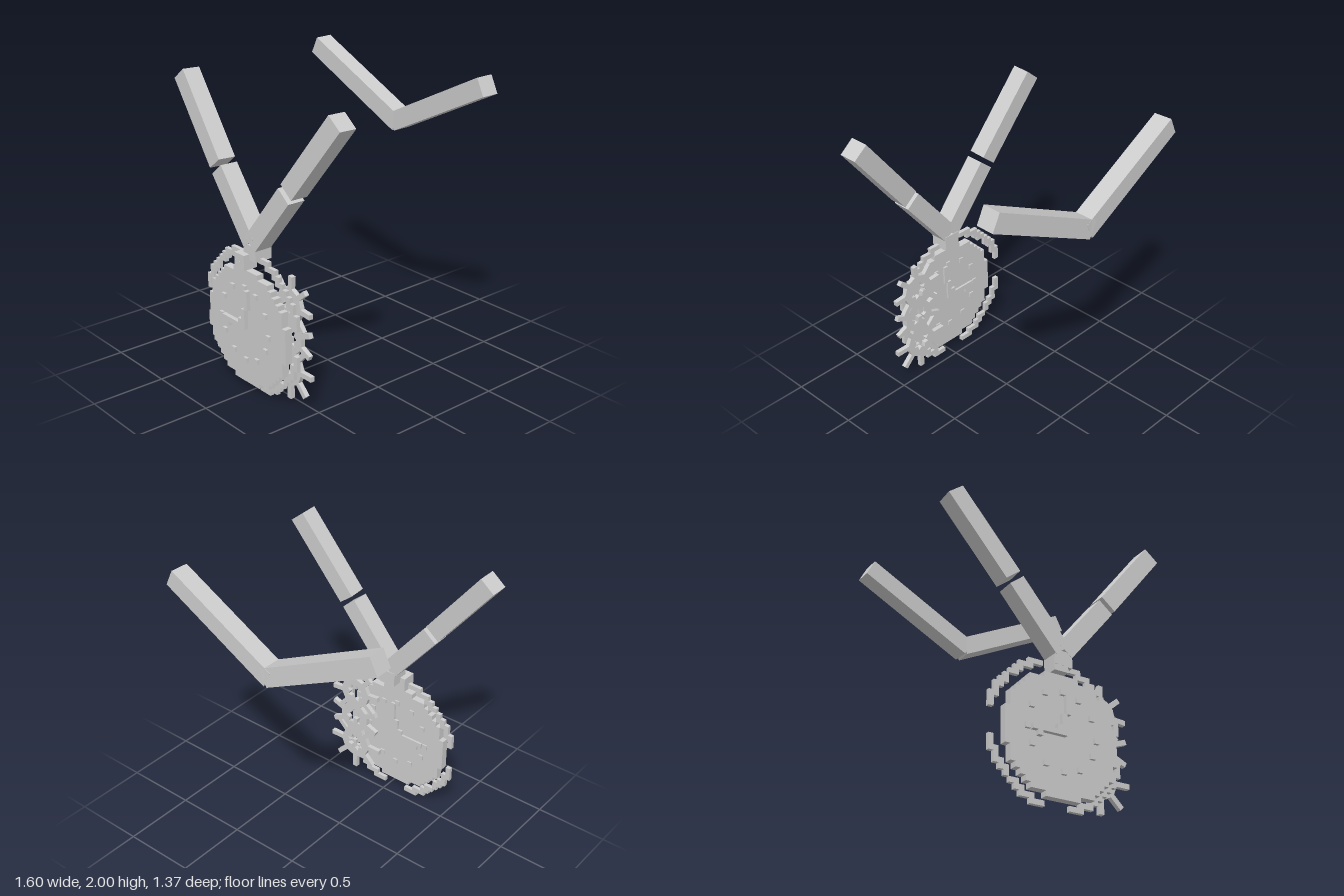
import * as THREE from 'three';

const CELL = 0.034;
const grey = new THREE.MeshStandardMaterial({ color: 0xcccccc });
grey.name = 'grey metal';

export function createModel() {
  const model = new THREE.Group();
  model.name = 'pocketWatchNecklace';

  const group = (name) => {
    const g = new THREE.Group();
    g.name = name;
    model.add(g);
    return g;
  };
  // Box given by its limits on each axis
  const block = (parent, name, x0, x1, y0, y1, z0, z1) => {
    const mesh = new THREE.Mesh(new THREE.BoxGeometry(x1 - x0, y1 - y0, z1 - z0), grey);
    mesh.position.set((x0 + x1) / 2, (y0 + y1) / 2, (z0 + z1) / 2);
    mesh.name = name;
    parent.add(mesh);
  };
  // Square bar between two points
  const bar = (parent, name, a, b) => {
    const from = new THREE.Vector3(...a), to = new THREE.Vector3(...b);
    const mesh = new THREE.Mesh(new THREE.BoxGeometry(0.123, 0.123, from.distanceTo(to)), grey);
    mesh.up.set(0, 0, 1);
    mesh.position.copy(from).lerp(to, 0.5);
    mesh.lookAt(to);
    mesh.name = name;
    parent.add(mesh);
  };

  // Straps, mirrored left and right
  const straps = group('straps');
  for (const s of [1, -1]) {
    bar(straps, 'backStrap', [s * 0.772, 1.945, -0.602], [s * -0.017, 1.555, -0.628]);
    bar(straps, 'upperFrontStrap', [s * 0.747, 1.927, 0.535], [s * 0.352, 1.432, 0.562]);
    bar(straps, 'lowerFrontStrap', [s * 0.33, 1.403, 0.564], [s * 0.008, 1.008, 0.572]);
  }
  block(straps, 'strapJoint', -0.062, 0.058, 0.9, 1.0, 0.506, 0.632);

  // Clasp between strap and dial
  const clasp = group('clasp');
  block(clasp, 'claspBlock', -0.1, -0.003, 0.838, 0.938, 0.575, 0.675);
  for (const x of [-0.088, -0.044]) block(clasp, 'claspPin', x - 0.006, x + 0.006, 0.879, 0.891, 0.67, 0.679);

  // Stepped round dial, one slab per row
  const dial = group('dial');
  const dx = -0.034, dy = 0.436;
  for (let j = -11; j <= 11; j++) {
    const half = (Math.floor(Math.sqrt(136 - j * j)) + 0.5) * CELL;
    block(dial, 'dialRow', dx - half, dx + half, dy + (j - 0.5) * CELL, dy + (j + 0.5) * CELL, 0.593, 0.645);
  }

  // Hour markers, standing out on both faces
  const markers = group('hourMarkers');
  const spots = [[0, 0.71], [0.118, 0.682], [0.21, 0.585], [0.24, 0.447], [0.21, 0.344], [0.118, 0.24], [0, 0.209]];
  for (const [ox, y] of spots) {
    for (const s of ox ? [1, -1] : [1]) {
      const x = dx + s * ox - (ox ? 0.018 : 0) + 0.012 * Math.sign(ox);
      block(markers, 'hourMarker', x - 0.017, x + 0.017, y - 0.017, y + 0.017, 0.583, 0.664);
    }
  }

  // Stepped clock hands
  const hands = group('hands');
  for (const [x0, x1, y0, y1] of [
    [-0.02, 0.011, 0.568, 0.7], [-0.05, -0.016, 0.463, 0.568], [-0.085, -0.05, 0.463, 0.495],
    [-0.254, -0.016, 0.43, 0.463], [-0.217, -0.185, 0.398, 0.43],
  ]) block(hands, 'handSegment', x0, x1, y0, y1, 0.578, 0.674);

  // Outer ring of blocks, open at the four cardinal points
  const ring = group('outerRing');
  const rx = -0.048, ry = 0.46;
  for (let i = -13; i <= 13; i++) {
    for (let j = -13; j <= 13; j++) {
      const r = Math.hypot(i, j);
      if (r < 12.75 || r >= 14 || Math.min(Math.abs(i), Math.abs(j)) < 3) continue;
      const x = rx + i * CELL, y = ry + j * CELL, h = CELL / 2;
      block(ring, 'ringBlock', x - h, x + h, y - h, y + h, 0.571, 0.598);
    }
  }

  // Gears behind the dial: eight long square teeth and a star-shaped hole
  const gears = group('gears');
  const gear = (x, y, tip, turn) => {
    const shape = new THREE.Shape(), hole = new THREE.Path();
    const outline = [], star = [];
    for (let k = 0; k < 8; k++) {
      const a = k * Math.PI / 4;
      const c = Math.cos(a), s = Math.sin(a);
      for (const [r, t] of [[0.115, -0.017], [tip, -0.017], [tip, 0.017], [0.115, 0.017]]) {
        outline.push(new THREE.Vector2(r * c - t * s, r * s + t * c));
      }
      const b = a + Math.PI / 8;
      star.push(new THREE.Vector2(0.045 * c, 0.045 * s), new THREE.Vector2(0.068 * Math.cos(b), 0.068 * Math.sin(b)));
    }
    shape.setFromPoints(outline);
    hole.setFromPoints(star.reverse());
    shape.holes.push(hole);
    const mesh = new THREE.Mesh(new THREE.ExtrudeGeometry(shape, { depth: 0.031, bevelEnabled: false }), grey);
    mesh.position.set(x, y, 0.535);
    mesh.rotation.z = turn * Math.PI / 180;
    mesh.name = 'gear';
    gears.add(mesh);
  };
  gear(0.295, 0.68, 0.195, 40);
  gear(0.3, 0.47, 0.2, 20);
  gear(0.29, 0.25, 0.212, 0);

  return model;
}
